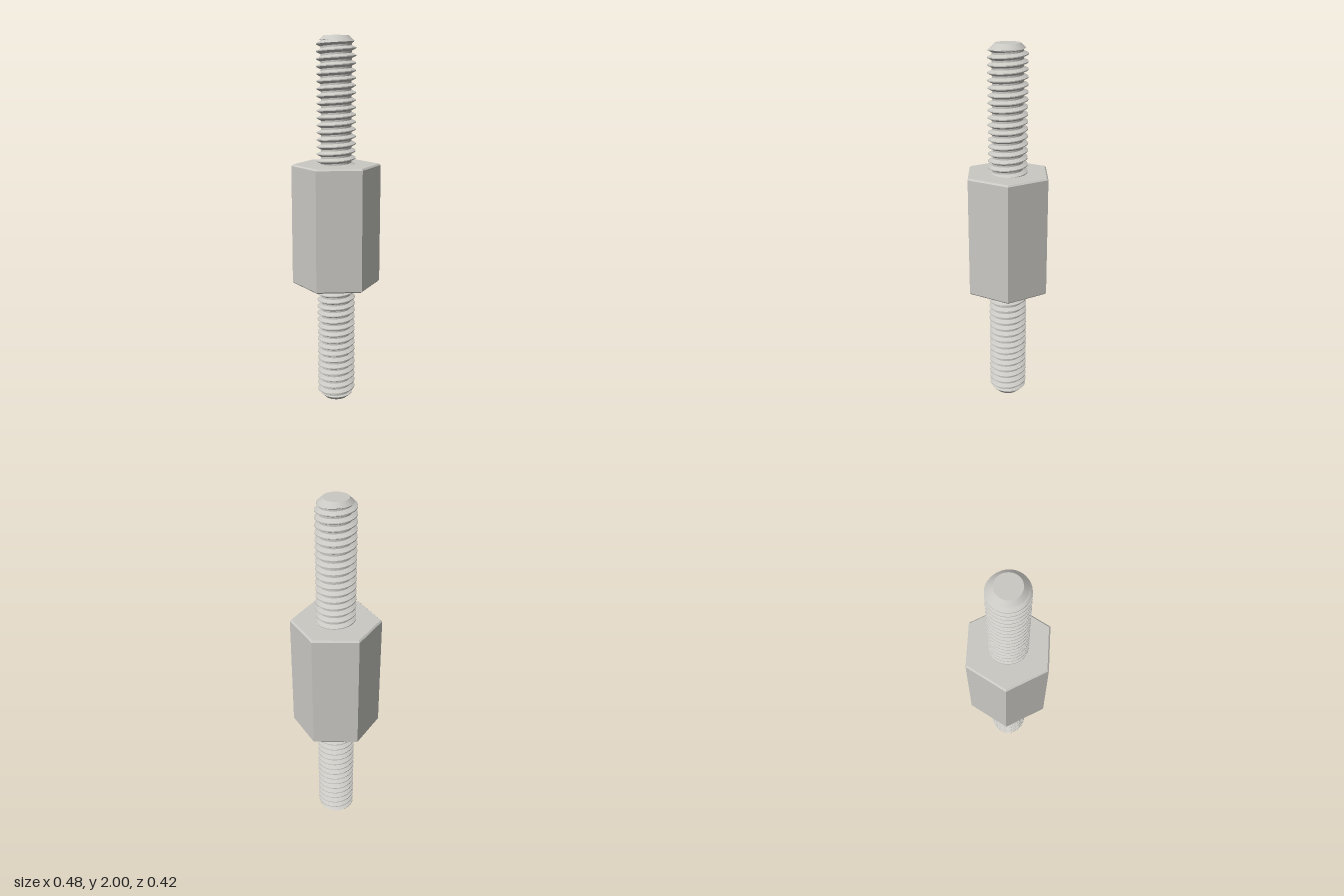
import * as THREE from 'three';
import { toCreasedNormals } from 'three/addons/utils/BufferGeometryUtils.js';

const SIDES = 48;
const PITCH = 0.038;
const MINOR = 0.081, MAJOR = 0.104;
const TIP_RADIUS = 0.065, TIP_HEIGHT = 0.022;
const BODY_BOTTOM = 0.673, BODY_TOP = 1.333;

// Thread tooth: root flat, flank, crest flat, flank, over one pitch.
function toothRadius(phase) {
  const t = phase - Math.floor(phase);
  if (t < 0.25) return MINOR;
  if (t < 0.56) return THREE.MathUtils.lerp(MINOR, MAJOR, (t - 0.25) / 0.31);
  if (t < 0.69) return MAJOR;
  return THREE.MathUtils.lerp(MAJOR, MINOR, (t - 0.69) / 0.31);
}

// Right-hand helical surface from y0 to y1, its start trimmed by the tip chamfer.
function threadGeometry(y0, y1) {
  const positions = [], index = [];
  const rows = [];
  for (let k = -1; k * PITCH <= y1; k++) {
    for (const t of [0, 0.25, 0.405, 0.56, 0.69, 0.845]) rows.push(k + t);
  }
  rows.push(Math.ceil(y1 / PITCH) + 1);
  for (const row of rows) {
    for (let j = 0; j <= SIDES; j++) {
      const turn = j / SIDES;
      const y = THREE.MathUtils.clamp(PITCH * (row + turn), y0, y1);
      const r = Math.min(toothRadius(y / PITCH - turn), TIP_RADIUS + y * 1.05);
      const a = (j % SIDES) / SIDES * Math.PI * 2;
      positions.push(r * Math.cos(a), y, -r * Math.sin(a));
    }
  }
  const addFace = (a, b, c) => {
    const [ya, yb, yc] = [a, b, c].map((i) => positions[i * 3 + 1]);
    if (ya !== yb || yb !== yc) index.push(a, b, c);
  };
  for (let i = 0; i < rows.length - 1; i++) {
    for (let j = 0; j < SIDES; j++) {
      const a = i * (SIDES + 1) + j, c = a + SIDES + 1;
      addFace(a, a + 1, c);
      addFace(a + 1, c + 1, c);
    }
  }
  const geometry = new THREE.BufferGeometry();
  geometry.setAttribute('position', new THREE.Float32BufferAttribute(positions, 3));
  geometry.setIndex(index);
  return toCreasedNormals(geometry, 0.45);
}

// Threaded stud with its tip at y = 0, growing upwards.
function createStud(name, length, material) {
  const stud = new THREE.Group();
  stud.name = name;
  const thread = new THREE.Mesh(threadGeometry(TIP_HEIGHT, length), material);
  thread.name = 'thread';
  const tip = new THREE.Mesh(
    new THREE.CylinderGeometry(TIP_RADIUS + TIP_HEIGHT * 1.05, TIP_RADIUS, TIP_HEIGHT, SIDES),
    material
  );
  tip.name = 'chamferedTip';
  tip.position.y = TIP_HEIGHT / 2;
  stud.add(thread, tip);
  return stud;
}

// Six-sided body with small chamfers at both ends.
function createBody(material) {
  const outer = 0.24, inner = 0.231, bevel = 0.008;
  const profile = [
    [0, BODY_BOTTOM], [inner, BODY_BOTTOM], [outer, BODY_BOTTOM + bevel],
    [outer, BODY_TOP - bevel], [inner, BODY_TOP], [0, BODY_TOP],
  ].map(([x, y]) => new THREE.Vector2(x, y));
  const geometry = new THREE.LatheGeometry(profile, 6).rotateY(Math.PI / 6);
  const body = new THREE.Mesh(toCreasedNormals(geometry, 0.3), material);
  body.name = 'hexBody';
  return body;
}

export function createModel() {
  const steel = new THREE.MeshStandardMaterial({ color: 0xc9c8c3 });
  steel.name = 'steel';

  const model = new THREE.Group();
  model.name = 'hexStandoff';

  const lowerStud = createStud('lowerStud', BODY_BOTTOM + 0.005, steel);
  const upperStud = createStud('upperStud', 2 - BODY_TOP + 0.005, steel);
  upperStud.rotation.x = Math.PI;
  upperStud.position.y = 2;

  model.add(createBody(steel), lowerStud, upperStud);
  return model;
}
